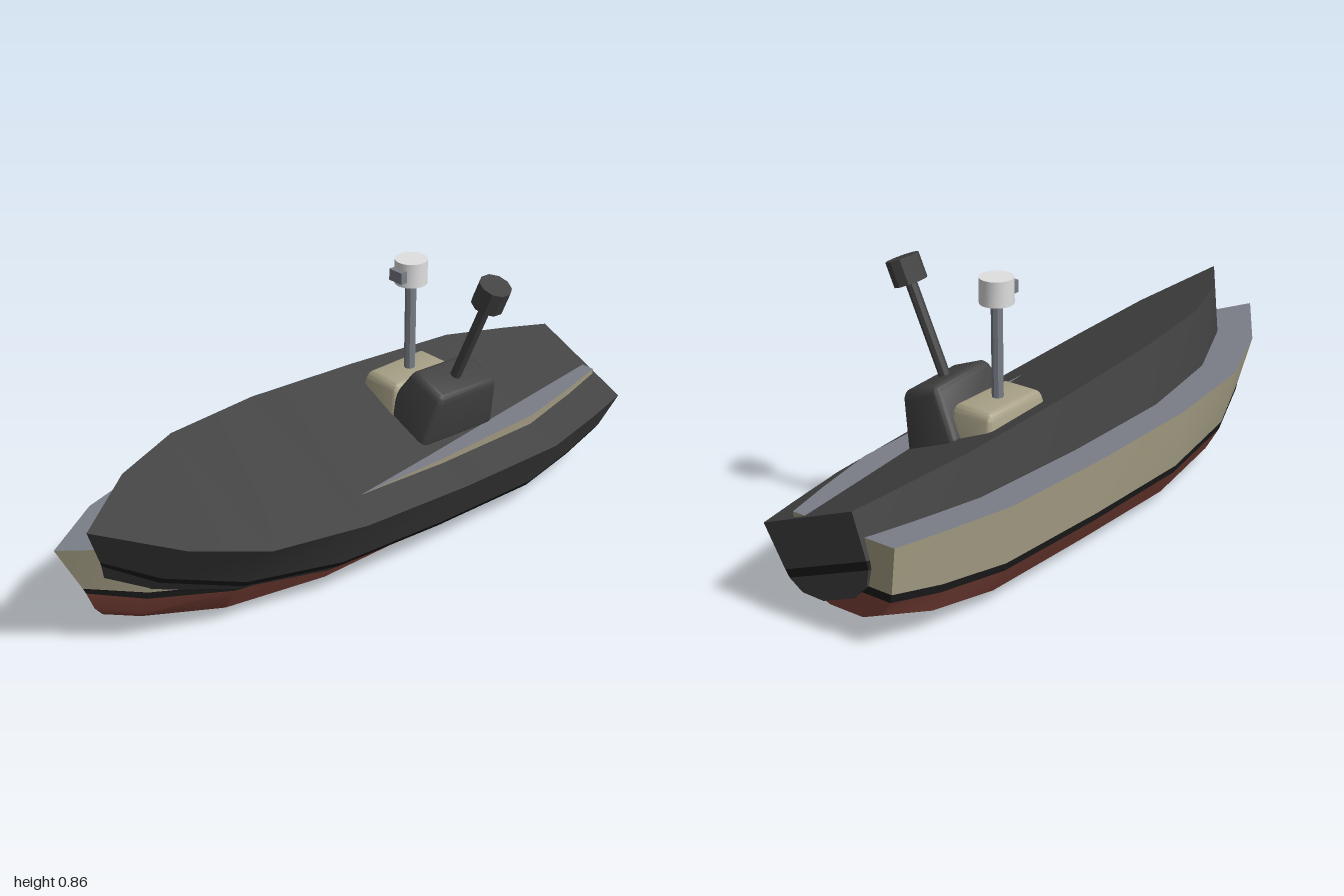
import * as THREE from 'three';
import { toCreasedNormals } from 'three/addons/utils/BufferGeometryUtils.js';
import { RoundedBoxGeometry } from 'three/addons/geometries/RoundedBoxGeometry.js';

const material = (name, color) => {
  const m = new THREE.MeshStandardMaterial({ color });
  m.name = name;
  return m;
};

const cream = material('cream', 0xa8a187);
const red = material('antifouling red', 0x80443a);
const black = material('stripe black', 0x1c1c1c);
const grey = material('deck grey', 0x7a7e87);
const white = material('lamp white', 0xe0e0e0);
const dark = material('charcoal', 0x424242);

// Stations from stern to bow. Each level is [half width, height, optional z]:
// deck edge, stripe top, stripe bottom, bilge, keel flat.
const STATIONS = [
  [-0.98, [0.18, 0.32], [0.165, 0.18], [0.16, 0.155], [0.13, 0.11], [0.06, 0.08]],
  [-0.82, [0.22, 0.32], [0.2, 0.155], [0.195, 0.13], [0.165, 0.065], [0.07, 0.03]],
  [-0.6, [0.267, 0.32], [0.242, 0.14], [0.235, 0.115], [0.195, 0.042], [0.08, 0.003]],
  [-0.2, [0.28, 0.32], [0.255, 0.14], [0.247, 0.115], [0.2, 0.04], [0.08, 0]],
  [0.2, [0.28, 0.325], [0.252, 0.14], [0.244, 0.115], [0.2, 0.04], [0.08, 0]],
  [0.53, [0.245, 0.332], [0.2, 0.155], [0.193, 0.13], [0.145, 0.05], [0.055, 0.01]],
  [0.77, [0.155, 0.35], [0.105, 0.185], [0.1, 0.162], [0.07, 0.095], [0.025, 0.055, 0.74]],
  [1.0, [0, 0.367, 1.0], [0, 0.21, 0.915], [0, 0.19, 0.905], [0, 0.13, 0.88], [0, 0.1, 0.855]],
];

// Closed ring of ten points per station: +x side downwards, then -x side upwards
const RINGS = STATIONS.map(([z, ...levels]) => {
  const side = levels.map(([x, y, zz = z]) => [x, y, zz]);
  return [...side, ...side.slice().reverse().map(([x, y, zz]) => [-x, y, zz])];
});

// Hull surface between the given ring columns, with matching transom strips
function hullPart(name, mat, columns, transomRows) {
  const pos = [];
  const quad = (a, b, c, d) => pos.push(...a, ...b, ...c, ...a, ...c, ...d);
  for (const j of columns) {
    const k = (j + 1) % 10;
    for (let i = 0; i < RINGS.length - 1; i++) {
      quad(RINGS[i][j], RINGS[i + 1][j], RINGS[i + 1][k], RINGS[i][k]);
    }
  }
  const stern = RINGS[0];
  for (const j of transomRows) quad(stern[9 - j], stern[j], stern[j + 1], stern[8 - j]);
  const geo = new THREE.BufferGeometry();
  geo.setAttribute('position', new THREE.Float32BufferAttribute(pos, 3));
  return mesh(name, toCreasedNormals(geo, 0.45), mat);
}

function mesh(name, geo, mat, x = 0, y = 0, z = 0) {
  const m = new THREE.Mesh(geo, mat);
  m.name = name;
  m.position.set(x, y, z);
  return m;
}

// Rounded cabin block narrowing towards its roof
function cabinGeometry() {
  const h = 0.18;
  const geo = new RoundedBoxGeometry(0.2, h, 0.31, 3, 0.025);
  const p = geo.attributes.position;
  for (let i = 0; i < p.count; i++) {
    const t = p.getY(i) / h + 0.5;
    p.setX(i, p.getX(i) * (1 - 0.32 * t));
    p.setZ(i, p.getZ(i) * (1 - 0.24 * t));
  }
  geo.computeVertexNormals();
  return toCreasedNormals(geo, 0.6);
}

function boat(name, c) {
  const g = new THREE.Group();
  g.name = name;
  const z = -0.33;
  g.add(
    hullPart('topsides', c.side, [0, 8], [0]),
    hullPart('waterlineStripe', black, [1, 7], [1]),
    hullPart('bottom', c.bottom, [2, 3, 4, 5, 6], [2, 3]),
    hullPart('deck', c.deck, [9], []),
    mesh('cabin', cabinGeometry(), c.side, 0, 0.39, z),
    mesh('mast', toCreasedNormals(new THREE.CylinderGeometry(0.017, 0.017, 0.32, 8), 0.3), c.mast, 0, 0.62, z),
    mesh('mastHead', toCreasedNormals(new THREE.CylinderGeometry(0.05, 0.05, 0.076, c.headSides), 0.5), c.head, 0, 0.8, z),
  );
  return g;
}

export function createModel() {
  const model = new THREE.Group();
  model.name = 'boats';

  // Upright boat with a lamp on its mast
  const upright = boat('uprightBoat', {
    side: cream, bottom: red, deck: grey, mast: grey, head: white, headSides: 20,
  });
  upright.position.x = -0.05;
  upright.add(mesh('lampWindow', new THREE.BoxGeometry(0.052, 0.036, 0.03), grey, 0, 0.798, -0.28));

  // Charcoal boat, heeled over and slightly bow up, through the first
  const heeled = boat('heeledBoat', {
    side: dark, bottom: dark, deck: dark, mast: dark, head: dark, headSides: 10,
  });
  heeled.getObjectByName('mastHead').material = dark;
  heeled.getObjectByName('mastHead').geometry = new THREE.CylinderGeometry(0.05, 0.05, 0.076, 10).toNonIndexed();
  heeled.getObjectByName('mastHead').geometry.computeVertexNormals();
  heeled.position.set(-0.054, 0.082, 0);
  heeled.rotation.set(-0.052, 0, -0.384);

  model.add(upright, heeled);
  return model;
}
